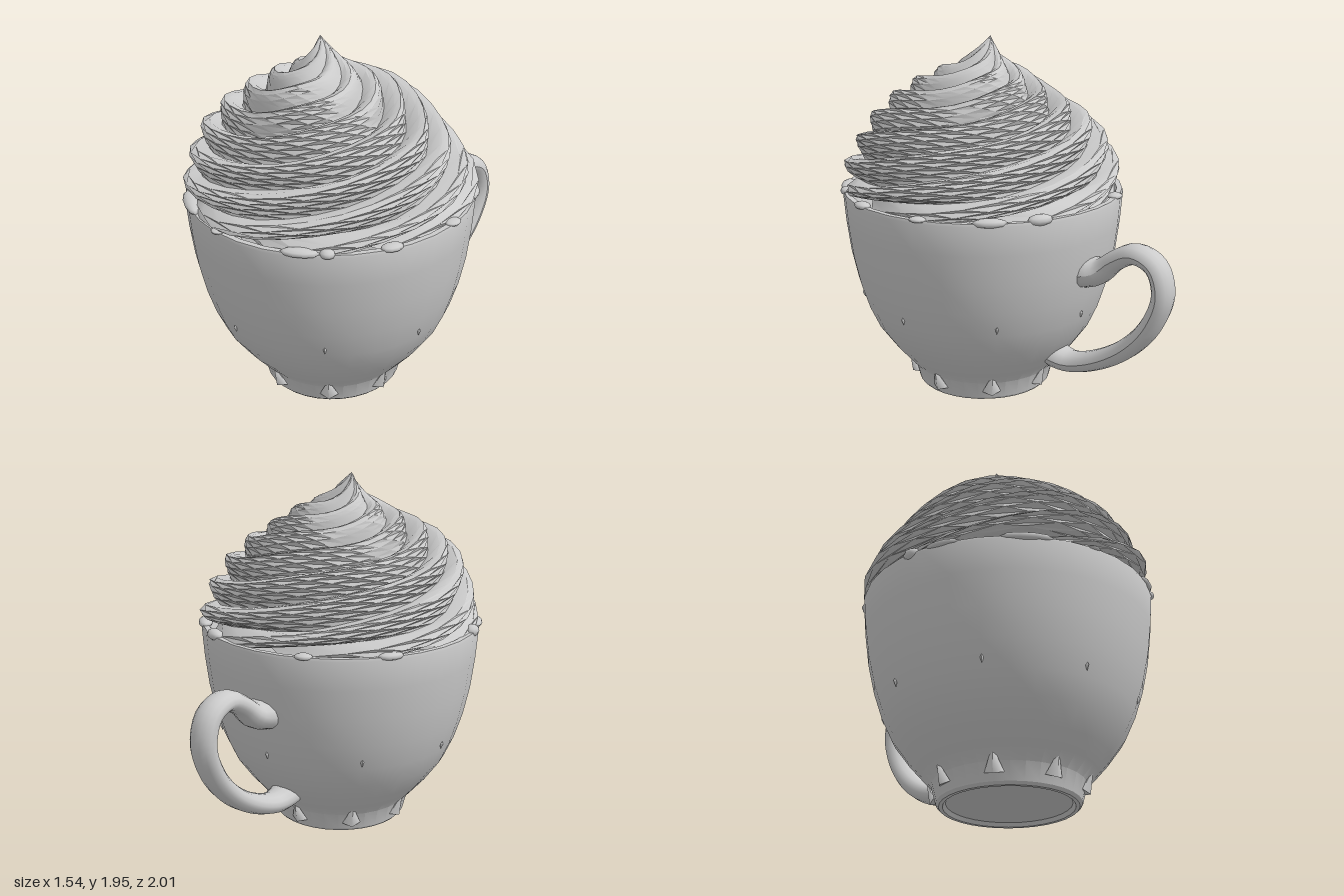
import * as THREE from 'three';
import { toCreasedNormals } from 'three/addons/utils/BufferGeometryUtils.js';

const material = new THREE.MeshStandardMaterial({ color: 0xcccccc, side: THREE.DoubleSide });
const CUP_Z = 0.23;
const points = (list) => list.map(([x, y]) => new THREE.Vector2(x, y));

function add(parent, name, geometry) {
  const mesh = new THREE.Mesh(geometry, material);
  mesh.name = name;
  parent.add(mesh);
  return mesh;
}

// Cup wall from the recessed underside up over the rim and a little way inside
function cupGeometry() {
  const profile = points([
    [0, 0.02], [0.32, 0.02], [0.335, 0], [0.355, 0], [0.37, 0.015], [0.395, 0.11], [0.45, 0.17],
    [0.52, 0.25], [0.6, 0.36], [0.655, 0.48], [0.7, 0.62], [0.735, 0.78], [0.757, 0.95],
    [0.77, 1.11], [0.765, 1.125], [0.735, 1.125], [0.72, 1.09], [0.69, 0.9],
  ]);
  return toCreasedNormals(new THREE.LatheGeometry(profile, 32), 0.5);
}

// Piped cream: a domed profile whose ridges twist upward to a leaning tip
function creamGeometry() {
  const profile = new THREE.SplineCurve(points([
    [0.70, 1.07], [0.745, 1.14], [0.755, 1.22], [0.725, 1.3], [0.685, 1.38], [0.63, 1.47],
    [0.54, 1.56], [0.44, 1.635], [0.33, 1.705], [0.22, 1.765], [0.12, 1.815], [0.055, 1.875], [0, 1.945],
  ]));
  const ridge = [0.05, 0.75, 1, 0.92, 0.68, 0.35]; // one shingle-like ridge
  const arms = 6, rows = 36, cols = arms * ridge.length;
  const position = [], index = [];
  for (let j = 0; j <= rows; j++) {
    const t = j / rows;
    const p = profile.getPointAt(t);
    const tangent = profile.getTangentAt(t);
    const depth = 0.1 * Math.min(1, p.x / 0.4);
    for (let i = 0; i <= cols; i++) {
      const angle = (i % cols) / cols * Math.PI * 2 + t * Math.PI * 2.6;
      const wave = 0.015 * Math.sin(angle * 3 + t * 9) * Math.min(1, p.x / 0.4);
      const push = depth * (ridge[i % ridge.length] - 0.85) + wave;
      const r = Math.max(0, p.x + tangent.y * push);
      const y = p.y - tangent.x * push;
      position.push(
        Math.sin(angle) * r - 0.07 * t ** 6, y,
        Math.cos(angle) * r + 0.035 * Math.sin(Math.PI * t));
    }
  }
  for (let j = 0; j < rows; j++) {
    for (let i = 0; i < cols; i++) {
      const a = j * (cols + 1) + i, b = a + 1, c = b + cols + 1, d = c - 1;
      index.push(a, b, c, a, c, d);
    }
  }
  const geometry = new THREE.BufferGeometry();
  geometry.setAttribute('position', new THREE.Float32BufferAttribute(position, 3));
  geometry.setIndex(index);
  return toCreasedNormals(geometry, 0.65);
}

// Handle: oval tube swelling where it meets the cup
function handleGeometry() {
  const path = new THREE.CatmullRomCurve3([
    [0.77, -0.47], [0.79, -0.56], [0.87, -0.66], [0.925, -0.78], [0.88, -0.9], [0.74, -0.945],
    [0.56, -0.88], [0.41, -0.75], [0.29, -0.56], [0.235, -0.38], [0.25, -0.27],
  ].map(([y, z]) => new THREE.Vector3(0, y, z)));
  const rings = 48, sides = 14;
  const geometry = new THREE.TubeGeometry(path, rings, 0.055, sides);
  const pos = geometry.attributes.position;
  const v = new THREE.Vector3();
  for (let j = 0; j <= rings; j++) {
    const t = j / rings;
    const centre = path.getPointAt(t);
    const swell = 1 + 0.55 * Math.exp(-((t / 0.07) ** 2)) + 0.2 * Math.exp(-(((1 - t) / 0.06) ** 2));
    for (let i = 0; i <= sides; i++) {
      const k = j * (sides + 1) + i;
      v.fromBufferAttribute(pos, k).sub(centre).multiplyScalar(swell);
      pos.setXYZ(k, v.x * 1.4, centre.y + v.y, centre.z + v.z);
    }
  }
  geometry.computeVertexNormals();
  return geometry;
}

export function createModel() {
  const model = new THREE.Group();
  model.name = 'creamToppedCup';

  const body = new THREE.Group();
  body.name = 'cupAndCream';
  body.position.z = CUP_Z;
  model.add(body);
  add(body, 'cup', cupGeometry());
  add(body, 'whippedCream', creamGeometry());

  // Small pointed folds above the foot and nicks on the wall, eight of each
  for (let i = 0; i < 8; i++) {
    const a = i * Math.PI / 4;
    const fold = add(body, 'footFold', new THREE.ConeGeometry(0.05, 0.13, 4));
    fold.position.set(Math.sin(a) * 0.405, 0.115, Math.cos(a) * 0.405);
    fold.rotation.set(0.4, a, 0, 'YXZ');
    fold.scale.z = 0.7;
    const nick = add(body, 'wallNick', new THREE.OctahedronGeometry(0.03));
    nick.position.set(Math.sin(a) * 0.668, 0.53, Math.cos(a) * 0.668);
    nick.rotation.y = a;
    nick.scale.set(0.35, 1, 0.5);
  }

  // Cream drips resting on the rim: angle, half length, half height
  const drips = [
    [-0.47, 0.14, 0.025], [0.64, 0.1, 0.022], [0.82, 0.04, 0.025], [0, 0.04, 0.012],
    [1.25, 0.06, 0.02], [1.8, 0.05, 0.015], [2.3, 0.09, 0.025], [2.65, 0.07, 0.03],
    [3.5, 0.05, 0.018], [4.1, 0.07, 0.022], [5.0, 0.05, 0.035], [5.25, 0.1, 0.02],
  ];
  for (const [a, length, height] of drips) {
    const drip = add(body, 'rimDrip', new THREE.SphereGeometry(1, 10, 6));
    drip.position.set(Math.sin(a) * 0.745, 1.125, Math.cos(a) * 0.745);
    drip.rotation.y = a;
    drip.scale.set(length, height, 0.04);
  }

  add(model, 'handle', handleGeometry());
  return model;
}
